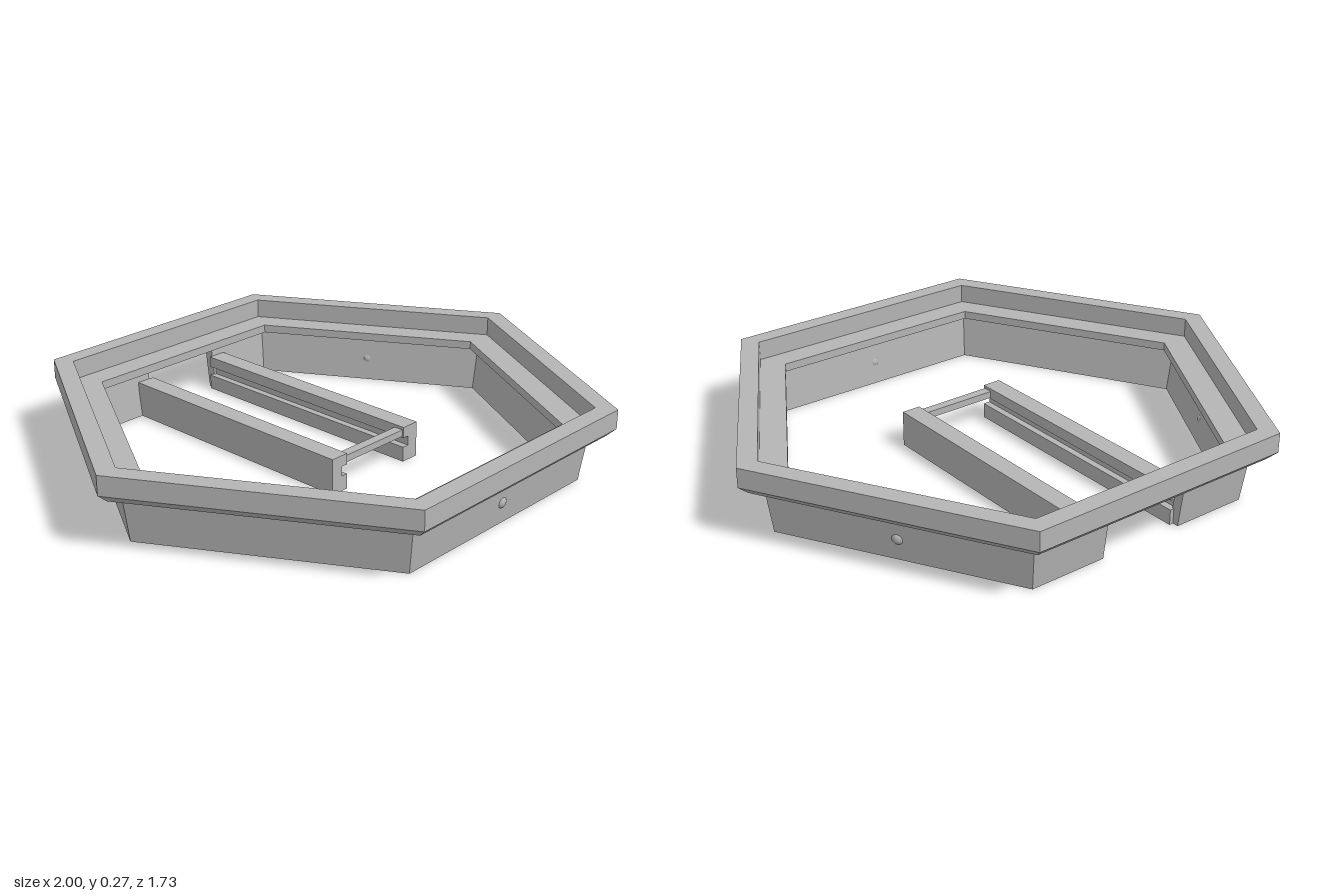
import * as THREE from 'three';

const COS30 = Math.sqrt(3) / 2;

export function createModel() {
  const group = new THREE.Group();
  const grey = new THREE.MeshStandardMaterial({ color: 0xb4b4b4 });
  grey.name = 'plain grey';
  grey.flatShading = true;
  const smoothGrey = grey;

  const add = (name, geometry) => {
    const mesh = new THREE.Mesh(geometry, smoothGrey);
    mesh.name = name;
    group.add(mesh);
    return mesh;
  };

  // Six-sided ring (or part of one) from a closed profile of [corner radius, y]
  const hexRing = (profile, sides = 6, start = Math.PI / 2) =>
    new THREE.LatheGeometry(
      [...profile, profile[0]].map(([r, y]) => new THREE.Vector2(r, y)),
      sides, start, sides * Math.PI / 3);

  // Rim with a raised outer border, an inner ledge and a bevelled underside
  add('rim', hexRing([
    [0.965, 0.17], [1, 0.2], [1, 0.27], [0.925, 0.27],
    [0.925, 0.2], [0.82, 0.2], [0.82, 0.17],
  ]));

  // Sloping apron on five sides; the back is left open
  const outer = [0.885, 0.91], inner = [0.845, 0.87], height = 0.17;
  add('apron', hexRing([
    [outer[0], 0], [outer[1], height], [inner[1], height], [inner[0], 0],
  ], 5, Math.PI * 7 / 6));

  // Two back apron pieces, mitred at the corners, with a gap between them
  const gap = 0.16;
  for (const side of [-1, 1]) {
    const geometry = new THREE.BoxGeometry(1, 1, 1);
    const p = geometry.attributes.position;
    for (let i = 0; i < p.count; i++) {
      const top = p.getY(i) > 0 ? 1 : 0;
      const r = (p.getZ(i) < 0 ? outer : inner)[top];
      const atCorner = p.getX(i) * side > 0;
      p.setXYZ(i, side * (atCorner ? r / 2 : gap), top * height, -r * COS30);
    }
    geometry.computeVertexNormals();
    add(side > 0 ? 'backApronLeft' : 'backApronRight', geometry);
  }

  // Pair of rails running in from the back, grooved on their facing sides
  for (const side of [-1, 1]) {
    const section = [
      [0.145, 0], [0.215, 0], [0.215, 0.13], [0.145, 0.13],
      [0.145, 0.09], [0.17, 0.09], [0.17, 0.055], [0.145, 0.055],
    ];
    const shape = new THREE.Shape(section.map(([x, y]) => new THREE.Vector2(side * x, y)));
    const geometry = new THREE.ExtrudeGeometry(shape, { depth: 0.985, bevelEnabled: false });
    geometry.translate(0, 0, -0.745);
    add(side > 0 ? 'railLeft' : 'railRight', geometry);
  }

  // Thin bar tying the free ends of the rails together
  add('crossBar', new THREE.BoxGeometry(0.3, 0.025, 0.035)).position.set(0, 0.107, 0.217);

  // Round studs set through the middle of every second side
  for (let i = 0; i < 3; i++) {
    const angle = i * Math.PI * 2 / 3;
    add('stud', new THREE.SphereGeometry(0.024, 20, 14))
      .position.set(0.762 * Math.sin(angle), 0.08, 0.762 * Math.cos(angle));
  }

  return group;
}
